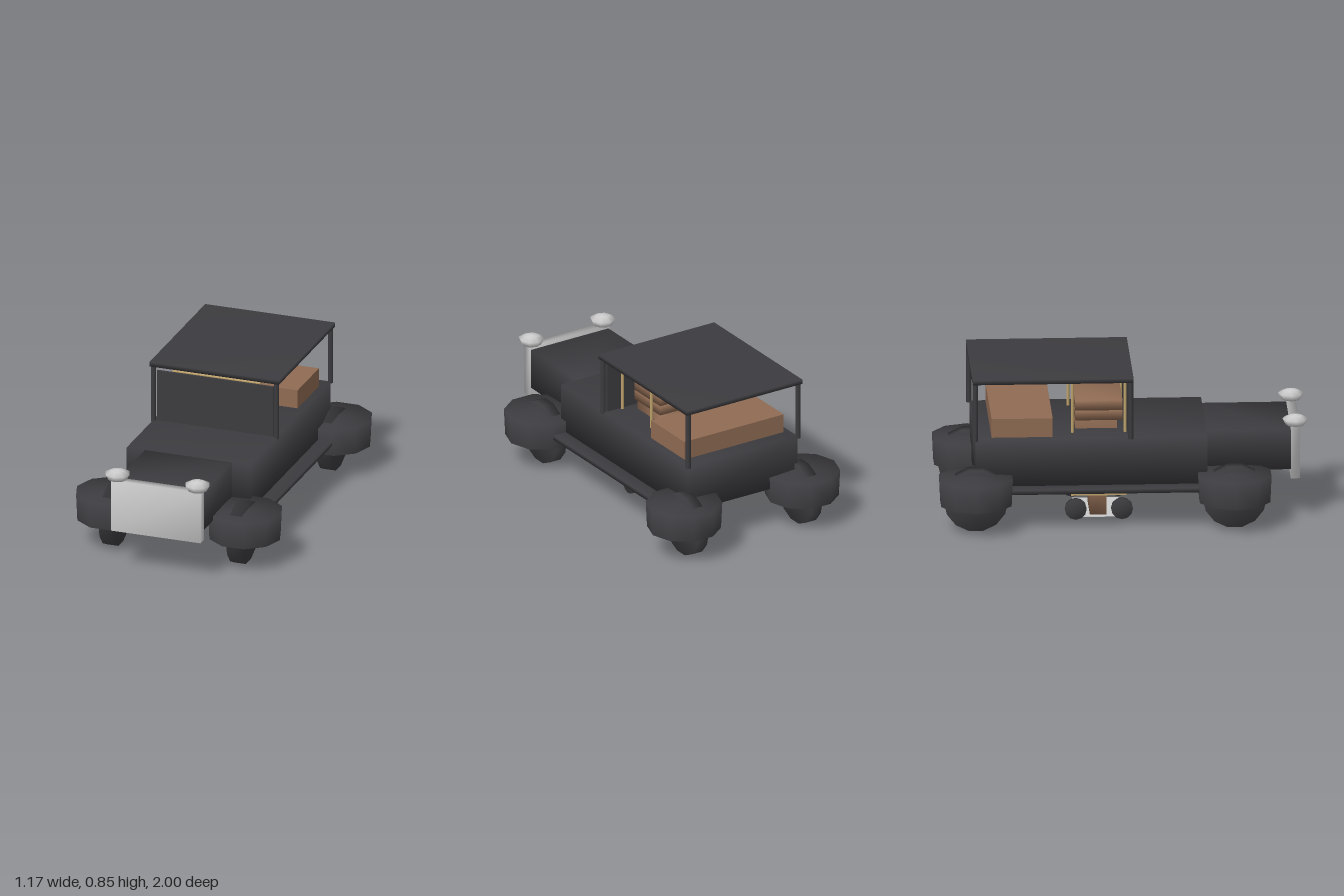
import * as THREE from 'three';
import { mergeVertices } from 'three/addons/utils/BufferGeometryUtils.js';

const mat = (name, color) => new THREE.MeshStandardMaterial({ name, color });

// share corner vertices so the shading runs smoothly around the edges
function soften(geometry) {
  geometry.deleteAttribute('normal');
  geometry.deleteAttribute('uv');
  const g = mergeVertices(geometry, 1e-4);
  g.computeVertexNormals();
  return g;
}

export function createModel() {
  const car = new THREE.Group();
  car.name = 'vintageCar';
  const dark = mat('darkPaint', 0x3c3b3f);
  const darkShell = mat('darkShell', 0x3c3b3f);
  darkShell.side = THREE.DoubleSide;
  const silver = mat('silver', 0xcacaca);
  const brown = mat('brownLeather', 0x8f6b53);
  const brass = mat('brass', 0xbfa36c);

  function add(name, geometry, material, x = 0, y = 0, z = 0) {
    const mesh = new THREE.Mesh(geometry, material);
    mesh.name = name;
    mesh.position.set(x, y, z);
    car.add(mesh);
    return mesh;
  }
  // box given by its limits on each axis
  function box(name, material, [x0, x1], [y0, y1], [z0, z1], soft = true) {
    const g = new THREE.BoxGeometry(x1 - x0, y1 - y0, z1 - z0);
    return add(name, soft ? soften(g) : g, material, (x0 + x1) / 2, (y0 + y1) / 2, (z0 + z1) / 2);
  }
  // disc with its axle along x
  function disc(name, material, r, width, sides, x, y, z) {
    const g = new THREE.CylinderGeometry(r, r, width, sides).rotateZ(Math.PI / 2);
    return add(name, soften(g), material, x, y, z);
  }
  const lathe = (points, sides) => new THREE.LatheGeometry(
    points.map(([r, y]) => new THREE.Vector2(r, y)), sides).rotateY(Math.PI / 2);

  // body, bonnet and radiator
  box('body', dark, [-0.355, 0.355], [0.235, 0.505], [-0.8, 0.45]);
  box('bonnet', dark, [-0.25, 0.25], [0.28, 0.505], [0.44, 0.91]);
  box('radiator', silver, [-0.257, 0.257], [0.23, 0.525], [0.905, 0.955]);

  // roof, posts and windscreen
  box('roof', dark, [-0.373, 0.373], [0.82, 0.845], [-0.82, 0.05]);
  box('windscreen', dark, [-0.335, 0.335], [0.5, 0.795], [0.022, 0.034], false);

  const fender = lathe([[0.2, 0.155], [0.207, 0.303], [0, 0.315]], 10);
  const lamp = lathe([[0, 0.525], [0.052, 0.528], [0.07, 0.562], [0.035, 0.578], [0, 0.586]], 8);

  for (const s of [-1, 1]) {
    for (const z of [0.035, -0.805]) {
      add('roofPost', new THREE.CylinderGeometry(0.014, 0.014, 0.325, 8), dark, s * 0.354, 0.66, z);
    }
    add('headlamp', lamp, silver, s * 0.23, 0, 0.93);
    box('runningBoard', dark, [s * 0.39 - 0.045, s * 0.39 + 0.045], [0.215, 0.24], [-0.65, 0.45]);
    // road wheels under open fenders
    for (const z of [0.595, -0.803]) {
      add('fender', fender, darkShell, s * 0.38, 0, z);
      disc('wheel', dark, 0.175, 0.065, 14, s * 0.367, 0.175, z);
      disc('hub', silver, 0.065, 0.02, 14, s * 0.403, 0.175, z);
    }
    // small wheels of the inner chair
    for (const z of [-0.005, -0.255]) disc('chairWheel', dark, 0.059, 0.02, 12, s * 0.207, 0.06, z);
  }

  // rear bench
  box('rearBench', brown, [-0.32, 0.32], [0.5, 0.61], [-0.715, -0.385], false);

  // driver's chair with its foot column
  box('chairBase', brown, [-0.175, 0.175], [0.165, 0.55], [-0.255, -0.03]);
  box('chairCushion', brown, [-0.175, 0.175], [0.55, 0.605], [-0.255, 0]);
  box('chairTop', brown, [-0.175, 0.175], [0.605, 0.66], [-0.255, 0]);
  box('footColumn', brown, [-0.135, 0.135], [0, 0.155], [-0.175, -0.085]);
  box('footPlate', silver, [-0.17, 0.17], [0.001, 0.004], [-0.255, -0.005], false);

  // brass platform carrying two hoops
  box('platform', brass, [-0.257, 0.257], [0.15, 0.166], [-0.283, 0.018], false);
  for (const z of [0.01, -0.275]) {
    for (const s of [-1, 1]) {
      add('hoopPost', new THREE.CylinderGeometry(0.008, 0.008, 0.65, 8), brass, s * 0.245, 0.477, z);
    }
    add('hoopBar', new THREE.CylinderGeometry(0.008, 0.008, 0.5, 8).rotateZ(Math.PI / 2), brass, 0, 0.796, z);
  }
  return car;
}
